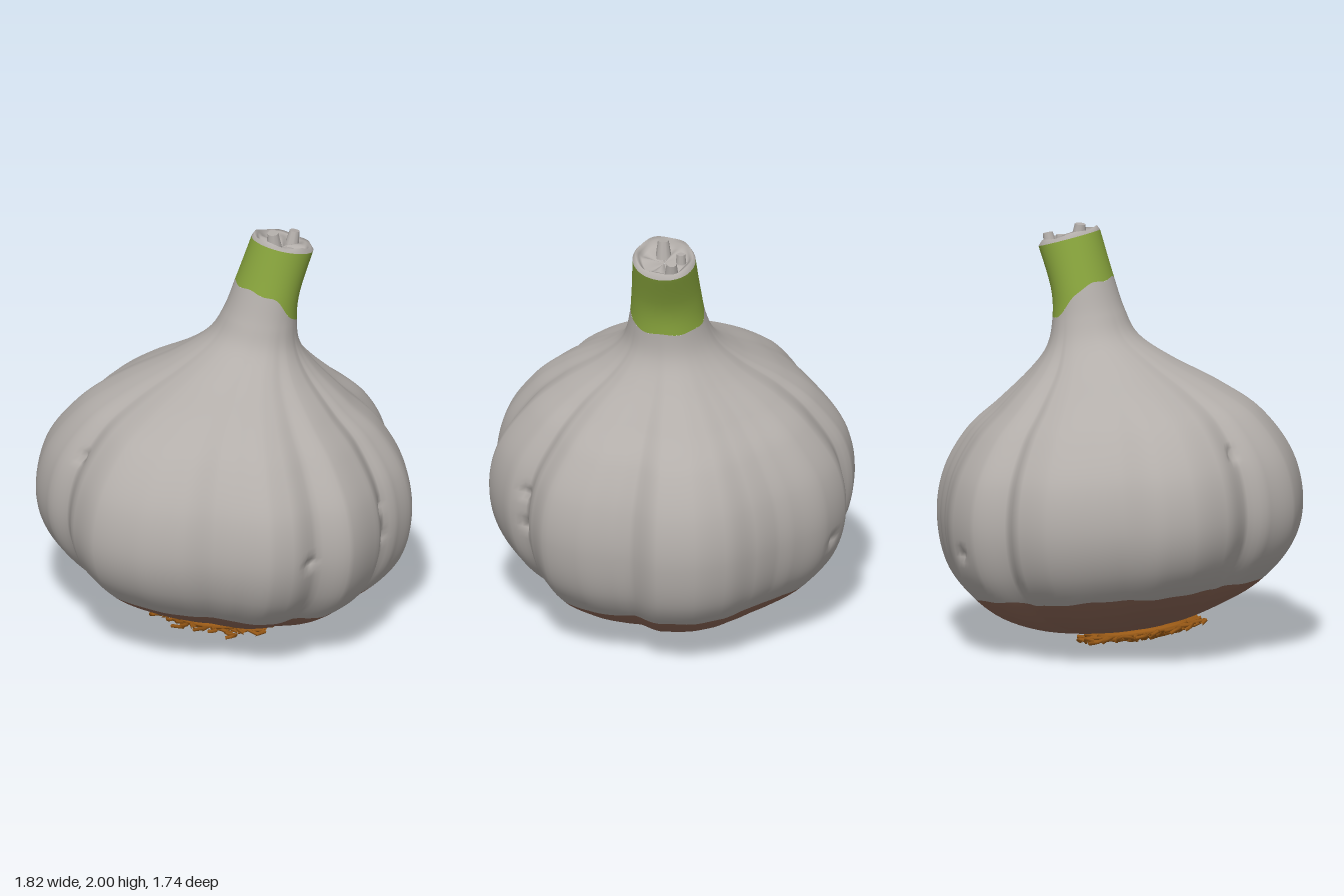
import * as THREE from 'three';

const material = (name, color) => Object.assign(new THREE.MeshStandardMaterial({ color }), { name });

// Tilted cross-sections from base to neck: left x, left y, right x, right y, front z, back z, clove strength
const RINGS = [
  [-0.12, 0.1, -0.1, 0.09, 0.01, -0.01, 0],
  [-0.3, 0.13, 0.1, 0.06, 0.2, -0.2, 0.4],
  [-0.5, 0.22, 0.4, 0.07, 0.45, -0.45, 0.7],
  [-0.7, 0.345, 0.66, 0.155, 0.66, -0.66, 0.9],
  [-0.85, 0.52, 0.84, 0.33, 0.82, -0.82, 1],
  [-0.9, 0.72, 0.9, 0.57, 0.88, -0.88, 1],
  [-0.85, 0.95, 0.87, 0.8, 0.84, -0.84, 1],
  [-0.7, 1.15, 0.76, 1.0, 0.7, -0.7, 0.95],
  [-0.5, 1.27, 0.6, 1.15, 0.54, -0.54, 0.8],
  [-0.25, 1.38, 0.45, 1.3, 0.35, -0.34, 0.5],
  [-0.07, 1.48, 0.365, 1.42, 0.245, -0.22, 0.2],
  [0.01, 1.6, 0.345, 1.55, 0.21, -0.16, 0.05],
  [0.075, 1.76, 0.36, 1.69, 0.2, -0.13, 0],
  [0.15, 1.97, 0.44, 1.88, 0.2, -0.1, 0],
];
const TOP = RINGS.length - 1;

// Clove outline: angle in degrees (from +x towards +z) and radius
const CLOVES = [
  [-5, 0.9], [8, 0.89], [18, 0.8], [24, 0.82], [35, 0.86], [48, 0.88], [57, 0.84], [63, 0.795],
  [72, 0.85], [87, 0.88], [98, 0.815], [107, 0.86], [115, 0.87], [125, 0.83], [135, 0.8],
  [145, 0.84], [160, 0.88], [175, 0.905], [187, 0.87], [195, 0.825], [205, 0.88], [217, 0.91],
  [228, 0.91], [240, 0.85], [250, 0.86], [265, 0.89], [275, 0.875], [281, 0.825], [293, 0.89],
  [305, 0.88], [317, 0.84], [325, 0.825], [335, 0.84], [345, 0.88], [355, 0.9],
];

// Small nicks in the skin: angle in degrees, position along the rings, depth
const NICKS = [[101, 5, 0.03], [65, 5.6, 0.025], [64, 4.9, 0.025], [196, 6.3, 0.03], [300, 4.6, 0.025]];

function cloveFactor(angle) {
  let d = THREE.MathUtils.radToDeg(angle) % 360;
  if (d < 0) d += 360;
  if (d >= 355) d -= 360;
  const i = CLOVES.findIndex((c, k) => k > 0 && d <= c[0]);
  const [a, b] = [CLOVES[i - 1], CLOVES[i]];
  const k = THREE.MathUtils.smoothstep(d, a[0], b[0]) * 0.5 + 0.5 * (d - a[0]) / (b[0] - a[0]);
  return (a[1] + (b[1] - a[1]) * k) / 0.89;
}

function ringAt(t) {
  const i = Math.min(Math.max(Math.floor(t), 0), TOP - 1), f = t - i;
  const row = (k) => RINGS[Math.min(Math.max(k, 0), TOP)];
  return RINGS[0].map((_, c) => {
    const [p, a, b, n] = [row(i - 1)[c], row(i)[c], row(i + 1)[c], row(i + 2)[c]];
    return a + 0.5 * f * (b - p + f * (2 * p - 5 * a + 4 * b - n + f * (3 * (a - b) + n - p)));
  });
}

function skin(t, angle) {
  const [xl, yl, xr, yr, zf, zb, w] = ringAt(t);
  const c = Math.cos(angle), s = Math.sin(angle);
  let f = 1 + (cloveFactor(angle) - 1) * w;
  for (const [deg, at, depth] of NICKS) {
    const da = Math.atan2(Math.sin(angle - deg * Math.PI / 180), Math.cos(angle - deg * Math.PI / 180));
    f -= depth * Math.exp(-((da / 0.04) ** 2) - ((t - at) / 0.13) ** 2);
  }
  return new THREE.Vector3(
    (xl + xr) / 2 + (xr - xl) / 2 * c * f,
    (yl + yr) / 2 + (yr - yl) / 2 * c,
    (zf + zb) / 2 + (zf - zb) / 2 * s * f);
}

// Cut end of the neck, closing inwards from the last ring
function cutEnd(s, angle) {
  const centre = new THREE.Vector3(0.295, 1.925, 0.05);
  const p = skin(TOP, angle).lerp(centre, s);
  p.y += 0.025 * Math.sin(Math.min(s * 4, 1) * Math.PI) - 0.02 * s + 0.012 * s * (1 - s) * Math.sin(angle * 5) * 4;
  return p;
}

// Grid patch over a surface between two edges, with smooth normals shared across patches
function patch(name, surface, from, to, rows, mat, columns = 180) {
  const pos = [], nor = [], index = [], e = 0.006;
  for (let i = 0; i <= rows; i++) {
    for (let j = 0; j <= columns; j++) {
      const a = (j / columns) * Math.PI * 2;
      const t = THREE.MathUtils.lerp(from(a), to(a), i / rows);
      const n = surface(t + e, a).sub(surface(t - e, a))
        .cross(surface(t, a + e * 2).sub(surface(t, a - e * 2))).normalize();
      pos.push(...surface(t, a).toArray());
      nor.push(...n.toArray());
      if (i < rows && j < columns) {
        const k = i * (columns + 1) + j, up = k + columns + 1;
        index.push(k, up, k + 1, k + 1, up, up + 1);
      }
    }
  }
  const g = new THREE.BufferGeometry();
  g.setAttribute('position', new THREE.Float32BufferAttribute(pos, 3));
  g.setAttribute('normal', new THREE.Float32BufferAttribute(nor, 3));
  g.setIndex(index);
  const mesh = new THREE.Mesh(g, mat);
  mesh.name = name;
  return mesh;
}

export function createModel() {
  const model = new THREE.Group();
  model.name = 'garlicBulb';
  const white = material('papery skin', 0xb3aeaa);
  const brown = material('brown base', 0x8a6555);
  const green = material('green neck', 0x87a33c);
  const rootMat = material('dry roots', 0x9a5a16);

  // Ragged colour borders
  const brownEdge = (a) => 3.22 + 0.2 * Math.cos(a) - 0.13 * Math.sin(a)
    + 0.12 * Math.cos(a) ** 2 + 0.025 * Math.sin(a * 9) + 0.015 * Math.sin(a * 23);
  const greenEdge = (a) => 11.48 - 0.48 * Math.tanh(2.2 * Math.cos(a)) + 0.03 * Math.sin(a * 7);

  model.add(
    patch('bulbBase', skin, () => 0.03, brownEdge, 20, brown),
    patch('bulbSkin', skin, brownEdge, greenEdge, 64, white),
    patch('neck', skin, greenEdge, () => TOP, 10, green, 60),
    patch('neckCutEnd', cutEnd, () => 0, () => 0.99, 10, white, 60),
  );

  // Sprout stubs on the cut end
  for (const [x, y, z, r, lean] of [[0.24, 1.955, 0.05, 0.026, 0.1], [0.385, 1.905, 0.02, 0.024, -0.25], [0.3, 1.91, -0.03, 0.02, 0]]) {
    const stub = new THREE.Mesh(new THREE.CylinderGeometry(r, r * 1.5, 0.085, 10), white);
    stub.name = 'sproutStub';
    stub.position.set(x, y, z);
    stub.rotation.z = lean;
    model.add(stub);
  }

  // Tilted mat of dry roots under the base
  const roots = new THREE.Group();
  roots.name = 'roots';
  roots.position.set(-0.125, 0.08, 0.01);
  roots.rotation.z = -0.18;
  const core = new THREE.Mesh(new THREE.SphereGeometry(0.22, 24, 12), rootMat);
  core.name = 'rootCore';
  core.scale.y = 0.16;
  roots.add(core);
  let seed = 7;
  const rand = () => (seed = (seed * 16807) % 2147483647) / 2147483647;
  for (let i = 0; i < 64; i++) {
    const a = (i / 64) * Math.PI * 2 + rand() * 0.1;
    const length = 0.25 + rand() * 0.08;
    const points = [];
    for (let k = 0; k <= 4; k++) {
      const r = 0.06 + (length - 0.06) * k / 4;
      const b = a + (rand() - 0.5) * 0.22;
      points.push(new THREE.Vector3(Math.cos(b) * r, -0.034 + k * 0.008 + (rand() - 0.5) * 0.022, Math.sin(b) * r));
    }
    // Some strands hook sideways at the tip
    if (i % 3 === 0) {
      const b = a + 0.18;
      points.push(new THREE.Vector3(Math.cos(b) * length * 0.95, -0.015, Math.sin(b) * length * 0.95));
    }
    const strand = new THREE.Mesh(new THREE.TubeGeometry(new THREE.CatmullRomCurve3(points), 12, 0.009, 5), rootMat);
    strand.name = 'rootStrand';
    roots.add(strand);
  }
  model.add(roots);
  return model;
}
